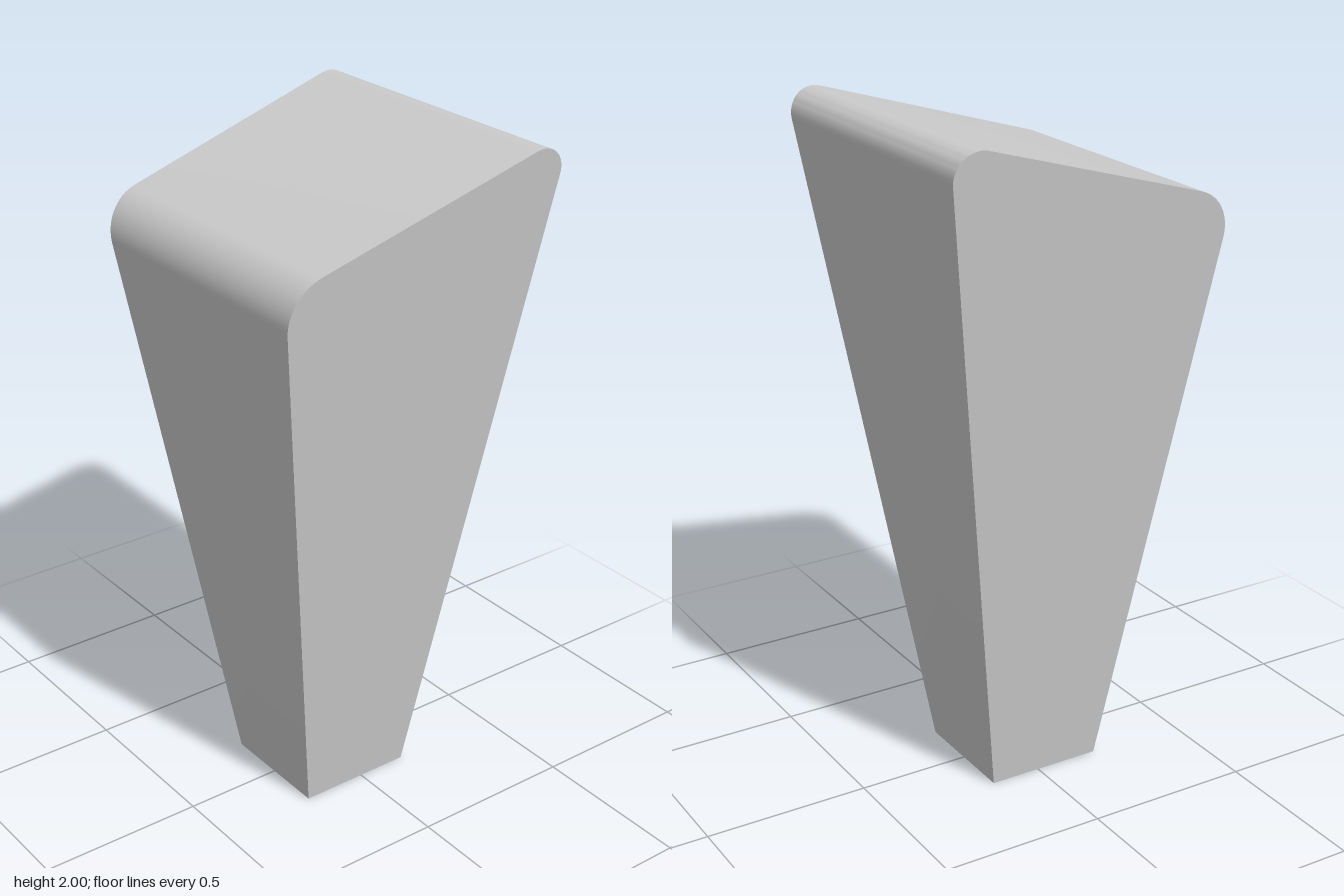
import * as THREE from 'three';
import { toCreasedNormals } from 'three/addons/utils/BufferGeometryUtils.js';

const BOTTOM_HALF = 0.177, TOP_HALF = 0.467;
const halfDepth = y => BOTTOM_HALF + (TOP_HALF - BOTTOM_HALF) * y / 2;

// Points of a circular fillet at corner c, between edges from a and to b
function fillet(a, c, b, length, steps) {
  const da = a.clone().sub(c).normalize(), db = b.clone().sub(c).normalize();
  const half = Math.acos(da.dot(db)) / 2;
  const radius = length * Math.tan(half);
  const centre = da.clone().add(db).normalize().multiplyScalar(length / Math.cos(half)).add(c);
  const start = c.clone().addScaledVector(da, length).sub(centre).angle();
  const sweep = Math.PI - 2 * half;
  return Array.from({ length: steps + 1 }, (_, i) => {
    const t = start + sweep * i / steps;
    return new THREE.Vector2(centre.x + radius * Math.cos(t), centre.y + radius * Math.sin(t));
  });
}

export function createModel() {
  const group = new THREE.Group();
  group.name = 'taperedLeg';
  const material = new THREE.MeshStandardMaterial({ color: 0xcccccc, side: THREE.DoubleSide });

  // Outline, counterclockwise from the bottom of the left (+x) edge
  const footL = new THREE.Vector2(0.156, 0), footR = new THREE.Vector2(-0.2, 0);
  const topL = new THREE.Vector2(0.45, 2.031), topR = new THREE.Vector2(-0.45, 1.767);
  const outline = [
    footL,
    ...fillet(footL, topL, topR, 0.117, 16),
    ...fillet(topL, topR, footR, 0.115, 16),
    footR,
  ];

  // Sides and rounded top as one band, open at the bottom
  const positions = [], index = [];
  outline.forEach(({ x, y }, i) => {
    const h = halfDepth(y);
    positions.push(x, y, h, x, y, -h);
    if (i > 0) {
      const f = 2 * i - 2;
      index.push(f, f + 1, f + 3, f, f + 3, f + 2);
    }
  });
  const band = new THREE.BufferGeometry();
  band.setAttribute('position', new THREE.Float32BufferAttribute(positions, 3));
  band.setIndex(index);
  const sides = new THREE.Mesh(toCreasedNormals(band, 0.5), material);
  sides.name = 'sidesAndTop';
  group.add(sides);

  // Front and back panels, leaning outward towards the top
  const face = new THREE.ShapeGeometry(new THREE.Shape(outline));
  const p = face.attributes.position;
  for (let i = 0; i < p.count; i++) p.setZ(i, halfDepth(p.getY(i)));
  face.computeVertexNormals();
  const front = new THREE.Mesh(face, material);
  front.name = 'frontPanel';

  const backFace = face.clone();
  const q = backFace.attributes.position;
  for (let i = 0; i < q.count; i++) q.setZ(i, -q.getZ(i));
  backFace.index.array.reverse();
  backFace.computeVertexNormals();
  const back = new THREE.Mesh(backFace, material);
  back.name = 'backPanel';
  group.add(front, back);

  return group;
}
